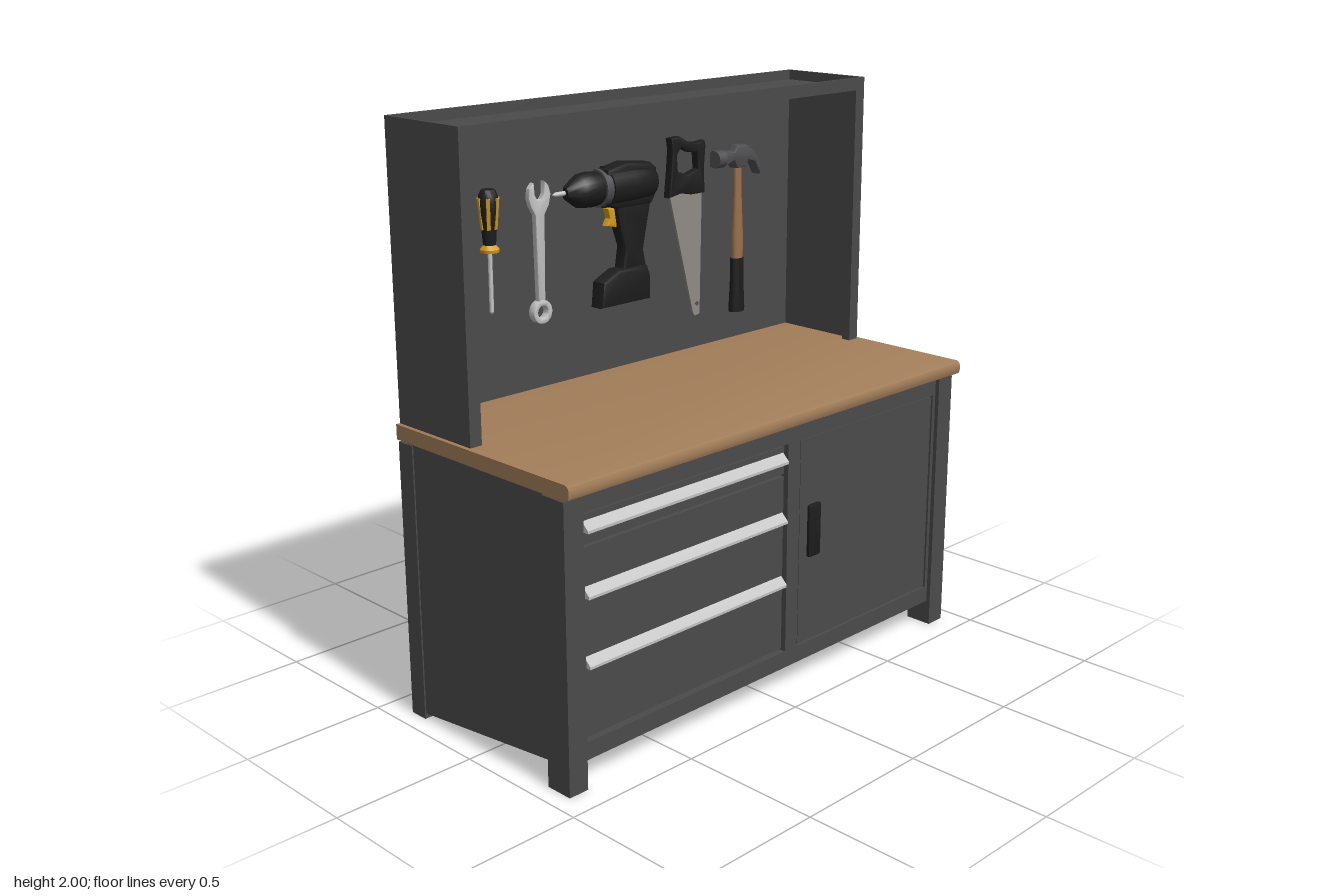
import * as THREE from 'three';
import { toCreasedNormals } from 'three/addons/utils/BufferGeometryUtils.js';

const mat = (name, color) => {
  const m = new THREE.MeshStandardMaterial({ color });
  m.name = name;
  return m;
};

export function createModel() {
  const paint = mat('dark grey paint', 0x4a4a4a);
  const wood = mat('worktop wood', 0xa07c58);
  const silver = mat('silver', 0xc2c2c2);
  const black = mat('black plastic', 0x1d1d1d);
  const yellow = mat('yellow plastic', 0xd19a1c);
  const blade = mat('blade steel', 0x8f8b86);
  const ash = mat('hammer wood', 0x97704a);
  const iron = mat('dark steel', 0x4f4f52);

  const model = new THREE.Group();
  model.name = 'workbench';
  const group = (name, x = 0, y = 0, z = 0) => {
    const g = new THREE.Group();
    g.name = name;
    g.position.set(x, y, z);
    model.add(g);
    return g;
  };
  const add = (g, name, geo, m) => {
    const mesh = new THREE.Mesh(geo, m);
    mesh.name = name;
    g.add(mesh);
    return mesh;
  };
  // Box given by its limits on each axis
  const box = (g, name, m, x0, x1, y0, y1, z0, z1) =>
    add(g, name, new THREE.BoxGeometry(x1 - x0, y1 - y0, z1 - z0)
      .translate((x0 + x1) / 2, (y0 + y1) / 2, (z0 + z1) / 2), m);
  const outline = pts => new THREE.Shape(pts.map(p => new THREE.Vector2(p[0], p[1])));
  // Flat outline in x,y with thickness and a soft edge, centred on z = 0
  const slab = (g, name, m, shape, t, bevel = 0) => {
    const geo = new THREE.ExtrudeGeometry(shape, {
      depth: t - 2 * bevel, bevelEnabled: bevel > 0, bevelSize: bevel, bevelOffset: -bevel,
      bevelThickness: bevel, bevelSegments: 2, curveSegments: 12,
    }).translate(0, 0, -t / 2 + bevel);
    return add(g, name, toCreasedNormals(geo, 0.6), m);
  };
  // Profile in z,y drawn out along x
  const bar = (g, name, m, pts, x0, x1) =>
    add(g, name, toCreasedNormals(new THREE.ExtrudeGeometry(outline(pts), { depth: x1 - x0, bevelEnabled: false })
      .rotateY(-Math.PI / 2).translate(x1, 0, 0), 0.6), m);
  const lathe = (g, name, m, pts, sides = 20) =>
    add(g, name, toCreasedNormals(new THREE.LatheGeometry(pts.map(p => new THREE.Vector2(p[0], p[1])), sides), 0.6), m);

  // Cabinet: core, sloped side panels, legs and front frame
  const cabinet = group('cabinet');
  box(cabinet, 'core', paint, -0.92, 0.92, 0.09, 0.965, -0.39, 0.365);
  for (const s of [-1, 1]) {
    const a = s > 0 ? 0.86 : -0.935, b = s > 0 ? 0.935 : -0.86;
    box(cabinet, 'frontLeg', paint, a, b, 0, 0.96, 0.31, 0.41);
    box(cabinet, 'backLeg', paint, a, b, 0, 0.96, -0.39, -0.32);
    bar(cabinet, 'sidePanel', paint, [[-0.35, 0.015], [0.31, 0.09], [0.31, 0.965], [-0.35, 0.965]],
      s > 0 ? 0.915 : -0.93, s > 0 ? 0.93 : -0.915);
  }
  box(cabinet, 'topRail', paint, -0.86, 0.86, 0.9, 0.96, 0.3, 0.395);
  box(cabinet, 'bottomRail', paint, -0.86, 0.86, 0.09, 0.15, 0.3, 0.395);
  box(cabinet, 'divider', paint, 0.062, 0.122, 0.15, 0.9, 0.3, 0.395);
  for (const x of [-0.86, 0.845]) box(cabinet, 'frameStile', paint, x, x + 0.015, 0.15, 0.9, 0.3, 0.395);

  // Drawers with sloped pull strips
  const drawers = group('drawers');
  for (const [y0, y1] of [[0.16, 0.395], [0.405, 0.62], [0.63, 0.785], [0.795, 0.89]])
    box(drawers, 'drawerFront', paint, -0.84, 0.055, y0, y1, 0.35, 0.382);
  for (const y of [0.413, 0.642, 0.853])
    bar(drawers, 'drawerPull', silver,
      [[0.375, y - 0.017], [0.408, y - 0.017], [0.408, y - 0.008], [0.382, y + 0.017], [0.375, y + 0.017]], -0.84, 0.05);

  // Door with a dark grip
  const door = group('door');
  box(door, 'doorPanel', paint, 0.13, 0.842, 0.155, 0.895, 0.35, 0.39);
  const grip = new THREE.Shape().moveTo(0.18, 0.465).lineTo(0.22, 0.465).quadraticCurveTo(0.23, 0.465, 0.23, 0.475)
    .lineTo(0.23, 0.645).quadraticCurveTo(0.23, 0.655, 0.22, 0.655).lineTo(0.18, 0.655)
    .quadraticCurveTo(0.17, 0.655, 0.17, 0.645).lineTo(0.17, 0.475).quadraticCurveTo(0.17, 0.465, 0.18, 0.465);
  slab(door, 'doorGrip', black, grip, 0.016, 0.004).position.z = 0.393;

  // Worktop with a rounded front edge
  bar(group('worktop'), 'worktopBoard', wood, [[-0.392, 0.968], [0.425, 0.968], [0.436, 0.974], [0.44, 0.985],
    [0.44, 1.003], [0.436, 1.013], [0.425, 1.019], [-0.392, 1.019]], -0.94, 0.94);

  // Tool wall: back, sides, front flanges and a sunken roof
  const wall = group('toolWall');
  box(wall, 'backPanel', paint, -0.925, 0.925, 1.015, 2, -0.392, -0.382);
  for (const s of [-1, 1]) {
    const span = (a, b) => (s > 0 ? [a, b] : [-b, -a]);
    box(wall, 'wallSide', paint, ...span(0.913, 0.925), 1.015, 2, -0.39, -0.03);
    box(wall, 'sideFlange', paint, ...span(0.88, 0.914), 1.015, 1.965, -0.045, -0.03);
    box(wall, 'flangeReturn', paint, ...span(0.88, 0.888), 1.015, 1.965, -0.065, -0.04);
  }
  box(wall, 'roof', paint, -0.915, 0.915, 1.955, 1.965, -0.385, -0.035);
  box(wall, 'roofLip', paint, -0.915, 0.915, 1.955, 2, -0.042, -0.03);

  // Screwdrivers
  const screwdriver = (x, y, h, r, shaft) => {
    const g = group('screwdriver', x, y, -0.382 + r);
    lathe(g, 'shaft', silver, [[0, -shaft], [r * 0.22, -shaft + 0.01], [r * 0.22, 0]], 12);
    lathe(g, 'collar', yellow, [[0, 0], [r * 0.9, 0], [r * 0.95, h * 0.05], [r * 0.6, h * 0.12], [0, h * 0.12]]);
    lathe(g, 'handle', black, [[r * 0.6, h * 0.1], [r * 0.66, h * 0.2], [r * 0.75, h * 0.4], [r * 0.96, h * 0.65],
      [r, h * 0.8], [r * 0.9, h * 0.92], [r * 0.65, h], [0, h]]);
    for (let i = 0; i < 6; i++) {
      const a = (i + 0.35) * Math.PI / 3;
      const strip = add(g, 'gripStrip', new THREE.BoxGeometry(r * 0.36, h * 0.5, 0.008), yellow);
      strip.position.set(Math.sin(a) * r * 0.86, h * 0.62, Math.cos(a) * r * 0.86);
      strip.rotation.set(0.1, a, 0, 'YXZ');
    }
  };
  screwdriver(-0.735, 1.595, 0.245, 0.038, 0.445);
  screwdriver(-0.572, 1.53, 0.205, 0.034, 0.21);

  // Combination wrench: open jaw above, ring below
  const wrench = group('wrench', -0.35, 0, -0.365);
  slab(wrench, 'jawAndShank', silver, outline([[-0.014, 1.315], [0.014, 1.315], [0.02, 1.62], [0.04, 1.65], [0.048, 1.685],
    [0.04, 1.715], [0.022, 1.732], [0.02, 1.69], [0.008, 1.672], [-0.01, 1.672], [-0.02, 1.69], [-0.024, 1.73],
    [-0.042, 1.712], [-0.047, 1.68], [-0.038, 1.65], [-0.02, 1.62]]), 0.022, 0.004);
  const ring = new THREE.Shape().absarc(0, 1.29, 0.041, 0, Math.PI * 2);
  ring.holes.push(new THREE.Path().absarc(0, 1.29, 0.022, 0, Math.PI * 2, true));
  slab(wrench, 'ringEnd', silver, ring, 0.03, 0.004);

  // Cordless drill, nose towards -x
  const drill = group('drill', 0, 0, -0.375);
  const turned = (name, m, pts) => {
    const mesh = lathe(drill, name, m, pts, 24);
    mesh.rotation.z = Math.PI / 2;
    mesh.position.y = 1.675;
  };
  turned('bit', silver, [[0.008, 0.2], [0.008, 0.265], [0, 0.28]]);
  turned('chuck', black, [[0.058, 0.08], [0.062, 0.12], [0.058, 0.17], [0.035, 0.205], [0.02, 0.225], [0, 0.225]]);
  turned('clutchRing', iron, [[0.06, 0.045], [0.066, 0.05], [0.066, 0.085], [0, 0.085]]);
  turned('motorHousing', black, [[0, -0.165], [0.055, -0.165], [0.068, -0.14], [0.072, -0.05], [0.072, 0.055], [0, 0.055]]);
  slab(drill, 'housingShell', black, outline([[-0.07, 1.62], [-0.02, 1.6], [0.14, 1.6], [0.165, 1.64], [0.165, 1.725],
    [0.14, 1.745], [0.02, 1.757], [-0.07, 1.74]]), 0.1, 0.015);
  slab(drill, 'drillHandle', black, outline([[0.005, 1.37], [0.125, 1.37], [0.11, 1.44], [0.13, 1.53], [0.15, 1.62],
    [-0.02, 1.62], [-0.005, 1.53], [0.02, 1.46]]), 0.075, 0.015);
  slab(drill, 'battery', black, outline([[-0.105, 1.26], [0.13, 1.26], [0.13, 1.345], [0.115, 1.385], [-0.02, 1.385],
    [-0.095, 1.35]]), 0.1, 0.012);
  slab(drill, 'trigger', yellow, outline([[-0.045, 1.6], [-0.035, 1.565], [-0.05, 1.54], [-0.005, 1.53], [0.005, 1.6]]), 0.04, 0.006);

  // Hand saw with a looped grip
  const saw = group('saw', 0, 0, -0.365);
  slab(saw, 'sawBlade', blade, outline([[0.255, 1.62], [0.375, 1.16], [0.385, 1.145], [0.41, 1.15], [0.421, 1.62]]), 0.008);
  const loop = outline([[0.245, 1.6], [0.31, 1.61], [0.36, 1.6], [0.425, 1.6], [0.423, 1.7], [0.43, 1.77], [0.425, 1.79],
    [0.39, 1.785], [0.345, 1.79], [0.3, 1.815], [0.255, 1.812], [0.262, 1.77], [0.255, 1.69]]);
  loop.holes.push(new THREE.Path([[0.29, 1.69], [0.285, 1.75], [0.305, 1.775], [0.345, 1.755], [0.385, 1.75], [0.39, 1.69],
    [0.34, 1.675]].map(p => new THREE.Vector2(...p))));
  slab(saw, 'sawGrip', black, loop, 0.034, 0.007);
  const rivet = add(saw, 'rivet', new THREE.CylinderGeometry(0.008, 0.008, 0.012, 12).rotateX(Math.PI / 2), iron);
  rivet.position.set(0.395, 1.19, 0);

  // Claw hammer
  const hammer = group('hammer', 0.61, 0, -0.362);
  const shank = lathe(hammer, 'hammerHandle', ash, [[0.026, 1.32], [0.026, 1.42], [0.019, 1.56], [0.018, 1.69], [0, 1.69]]);
  const rubber = lathe(hammer, 'hammerGrip', black, [[0, 1.125], [0.034, 1.125], [0.035, 1.14], [0.03, 1.24], [0.029, 1.33], [0, 1.33]]);
  shank.scale.z = rubber.scale.z = 0.7;
  slab(hammer, 'hammerHead', iron, outline([[-0.085, 1.685], [-0.04, 1.7], [-0.025, 1.67], [0.025, 1.67], [0.035, 1.695],
    [0.07, 1.685], [0.1, 1.635], [0.095, 1.68], [0.07, 1.725], [0.03, 1.752], [-0.025, 1.755], [-0.04, 1.735],
    [-0.085, 1.735]]), 0.05, 0.008);
  const face = add(hammer, 'strikingFace', new THREE.CylinderGeometry(0.032, 0.032, 0.04, 20).rotateZ(Math.PI / 2), iron);
  face.position.set(-0.105, 1.71, 0);

  return model;
}
